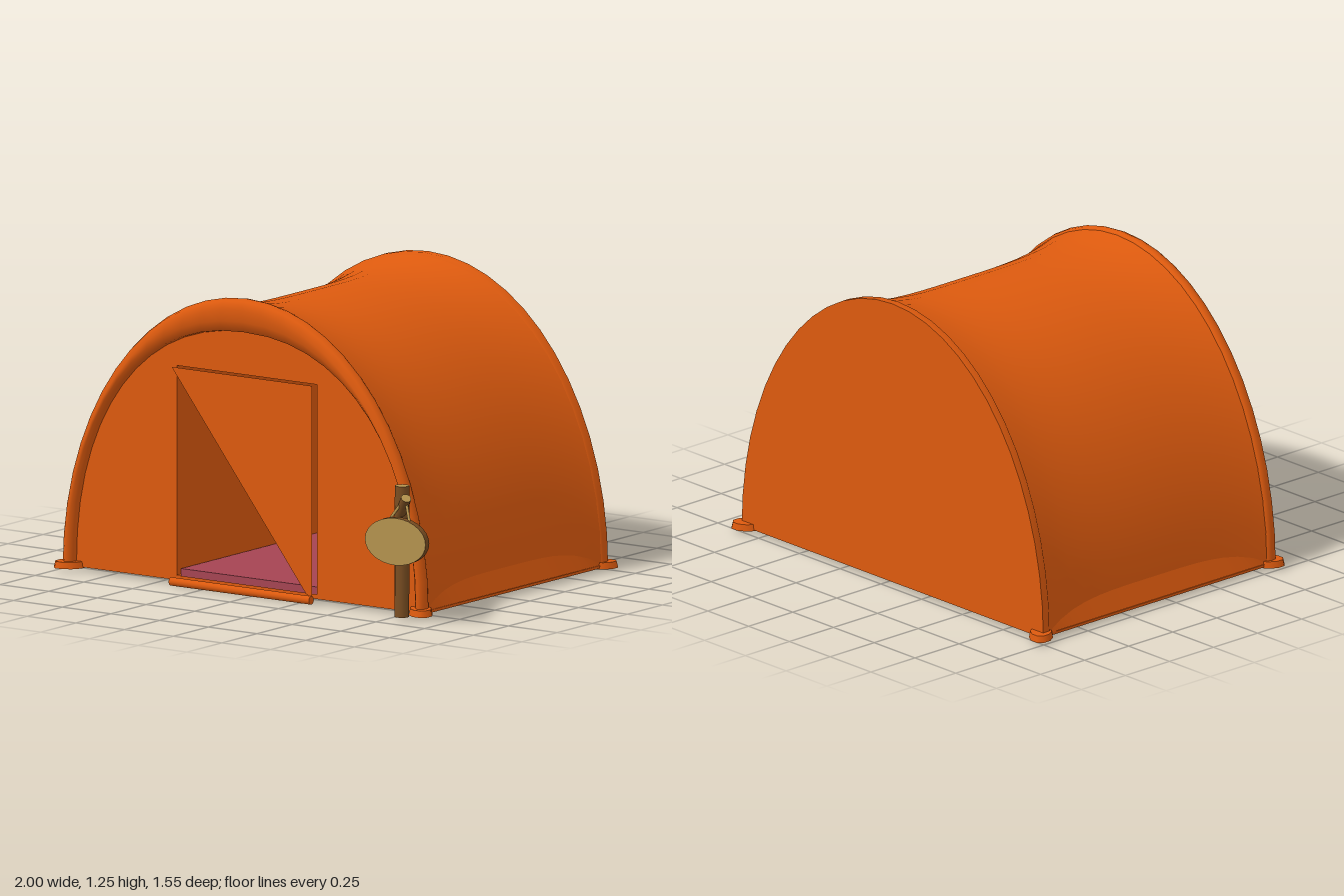
import * as THREE from 'three';

const CX = -0.05, BASE = 0.02, SEG = 28;

export function createModel() {
  const model = new THREE.Group();
  model.name = 'tent';
  const paint = (name, color) => {
    const m = new THREE.MeshStandardMaterial({ color, side: THREE.DoubleSide });
    m.name = name;
    return m;
  };
  const orange = paint('orange canvas', 0xdd5a0e);
  const pink = paint('pink mat', 0xa54452);
  const brown = paint('brown bark', 0x7a4e22);
  const tan = paint('cut wood', 0xb5934e);

  const add = (name, geo, mat, x = 0, y = 0, z = 0, parent = model) => {
    const mesh = new THREE.Mesh(geo, mat);
    mesh.name = name;
    mesh.position.set(x, y, z);
    parent.add(mesh);
    return mesh;
  };

  // Arch outline: half a superellipse, optionally starting above the ground
  const arch = (a, b, z, n = 2, lift = 0) => {
    const t0 = Math.asin(lift / b), pts = [];
    for (let i = 0; i <= SEG; i++) {
      const t = t0 + (Math.PI - 2 * t0) * i / SEG, c = Math.cos(t);
      pts.push(new THREE.Vector3(CX + a * Math.sign(c) * Math.abs(c) ** (2 / n),
        BASE + b * Math.abs(Math.sin(t)) ** (2 / n), z));
    }
    return pts;
  };

  // Surface through a list of equally long cross-sections
  const loft = rings => {
    const geo = new THREE.BufferGeometry().setFromPoints(rings.flat());
    const w = rings[0].length, index = [];
    for (let r = 0; r < rings.length - 1; r++) {
      for (let i = 0; i < w - 1; i++) {
        const p = r * w + i, q = p + w;
        index.push(p, p + 1, q, p + 1, q + 1, q);
      }
    }
    geo.setIndex(index);
    geo.computeVertexNormals();
    return geo;
  };
  const outline = pts => new THREE.Shape(pts.map(p => new THREE.Vector2(p.x, p.y)));

  // Canvas roof, sagging between the two end arches, and its side skirts
  const roof = [], skirts = [[], []];
  for (let k = 0; k <= 16; k++) {
    const u = k / 8 - 1, z = -0.07 - 0.625 * u, sag = 1 - u ** 4;
    const ring = arch(0.92 - 0.03 * sag, 1.225 - 0.055 * sag, z, 2, 0.015 + 0.085 * sag);
    roof.push(ring);
    skirts[0].push([new THREE.Vector3(CX + 0.92, BASE, z), ring[0]]);
    skirts[1].push([ring[SEG], new THREE.Vector3(CX - 0.92, BASE, z)]);
  }
  add('roofCanvas', loft(roof), orange);
  add('leftSkirt', loft(skirts[0]), orange);
  add('rightSkirt', loft(skirts[1]), orange);

  // Rounded front rim
  add('frontRim', loft([
    arch(0.875, 1.09, 0.55, 2.2), arch(0.88, 1.095, 0.58, 2.2), arch(0.895, 1.14, 0.595, 2.1),
    arch(0.91, 1.19, 0.6), arch(0.925, 1.225, 0.588), arch(0.93, 1.235, 0.565),
    arch(0.925, 1.232, 0.548), arch(0.91, 1.215, 0.54),
  ].reverse()), orange);

  // Back hem band and flat back wall
  add('backHem', loft([
    arch(0.915, 1.22, -0.685), arch(0.925, 1.235, -0.695), arch(0.925, 1.235, -0.73),
  ]), orange);
  const back = new THREE.ShapeGeometry(outline(arch(0.925, 1.235, 0)));
  back.rotateY(Math.PI);
  add('backWall', back, orange, 2 * CX, 0, -0.73);

  // Front wall with the doorway cut out
  const front = outline(arch(0.885, 1.1, 0, 2.2));
  front.holes.push(new THREE.Path([
    new THREE.Vector2(-0.41, 0.04), new THREE.Vector2(-0.41, 0.93),
    new THREE.Vector2(0.31, 0.93), new THREE.Vector2(0.31, 0.04),
  ]));
  add('frontWall', new THREE.ShapeGeometry(front), orange, 0, 0, 0.558);

  // Inner room behind the doorway, with its mat
  const depth = 1.25, midZ = 0.557 - depth / 2;
  for (const [name, x] of [['innerRightWall', -0.412], ['innerLeftWall', 0.312]]) {
    const wall = add(name, new THREE.PlaneGeometry(depth, 0.89), orange, x, 0.485, midZ);
    wall.rotation.y = x < 0 ? Math.PI / 2 : -Math.PI / 2;
  }
  add('innerCeiling', new THREE.PlaneGeometry(0.72, depth), orange, CX, 0.932, midZ).rotation.x = Math.PI / 2;
  add('innerBackWall', new THREE.PlaneGeometry(0.72, 0.89), orange, CX, 0.485, 0.557 - depth);
  add('mat', new THREE.BoxGeometry(0.715, 0.035, depth - 0.03), pink, CX, 0.0475, midZ - 0.01);
  add('groundSheet', new THREE.BoxGeometry(1.84, 0.012, 1.285), orange, CX, BASE + 0.006, -0.086);

  // Door flap folded along the diagonal, and the rolled-up bottom edge
  const flap = new THREE.Shape([
    new THREE.Vector2(-0.41, 0.93), new THREE.Vector2(0.28, 0.045),
    new THREE.Vector2(0.31, 0.03), new THREE.Vector2(0.31, 0.93),
  ]);
  add('doorFlap', new THREE.ShapeGeometry(flap), orange, 0, 0, 0.596);
  add('doorRoll', new THREE.CylinderGeometry(0.018, 0.018, 0.72, 12), orange, CX, 0.021, 0.6)
    .rotation.z = Math.PI / 2;

  // Corner feet, set diagonally
  for (const sx of [-1, 1]) {
    for (const sz of [-1, 1]) {
      const foot = add('cornerFoot', new THREE.CylinderGeometry(0.045, 0.05, 0.028, 10), orange,
        CX + sx * 0.9, 0.03, -0.075 + sz * 0.645);
      foot.scale.x = 1.4;
      foot.rotation.y = sx * sz * -Math.PI / 4;
    }
  }

  // Wooden sign: post, peg, two cords and a hanging round board
  const sign = new THREE.Group();
  sign.name = 'sign';
  model.add(sign);
  const stick = (name, from, to, r, mats) => {
    const a = new THREE.Vector3(...from), d = new THREE.Vector3(...to).sub(a);
    const mesh = add(name, new THREE.CylinderGeometry(r, r, d.length(), 12), mats, 0, 0, 0, sign);
    mesh.position.copy(a).addScaledVector(d, 0.5);
    mesh.quaternion.setFromUnitVectors(new THREE.Vector3(0, 1, 0), d.normalize());
  };
  const log = [brown, tan, tan];
  stick('post', [0.82, 0.02, 0.663], [0.82, 0.575, 0.66], 0.031, log);
  stick('peg', [0.81, 0.44, 0.665], [0.875, 0.535, 0.708], 0.022, log);
  stick('cord', [0.868, 0.52, 0.7], [0.91, 0.43, 0.73], 0.006, tan);
  stick('cord', [0.85, 0.52, 0.695], [0.8, 0.43, 0.735], 0.006, tan);
  const disc = new THREE.CylinderGeometry(1, 1, 1, 28);
  disc.scale(0.145, 0.032, 0.1);
  disc.rotateX(Math.PI / 2);
  add('signBoard', disc, log, 0.85, 0.355, 0.738, sign).rotation.y = 0.11;

  return model;
}
